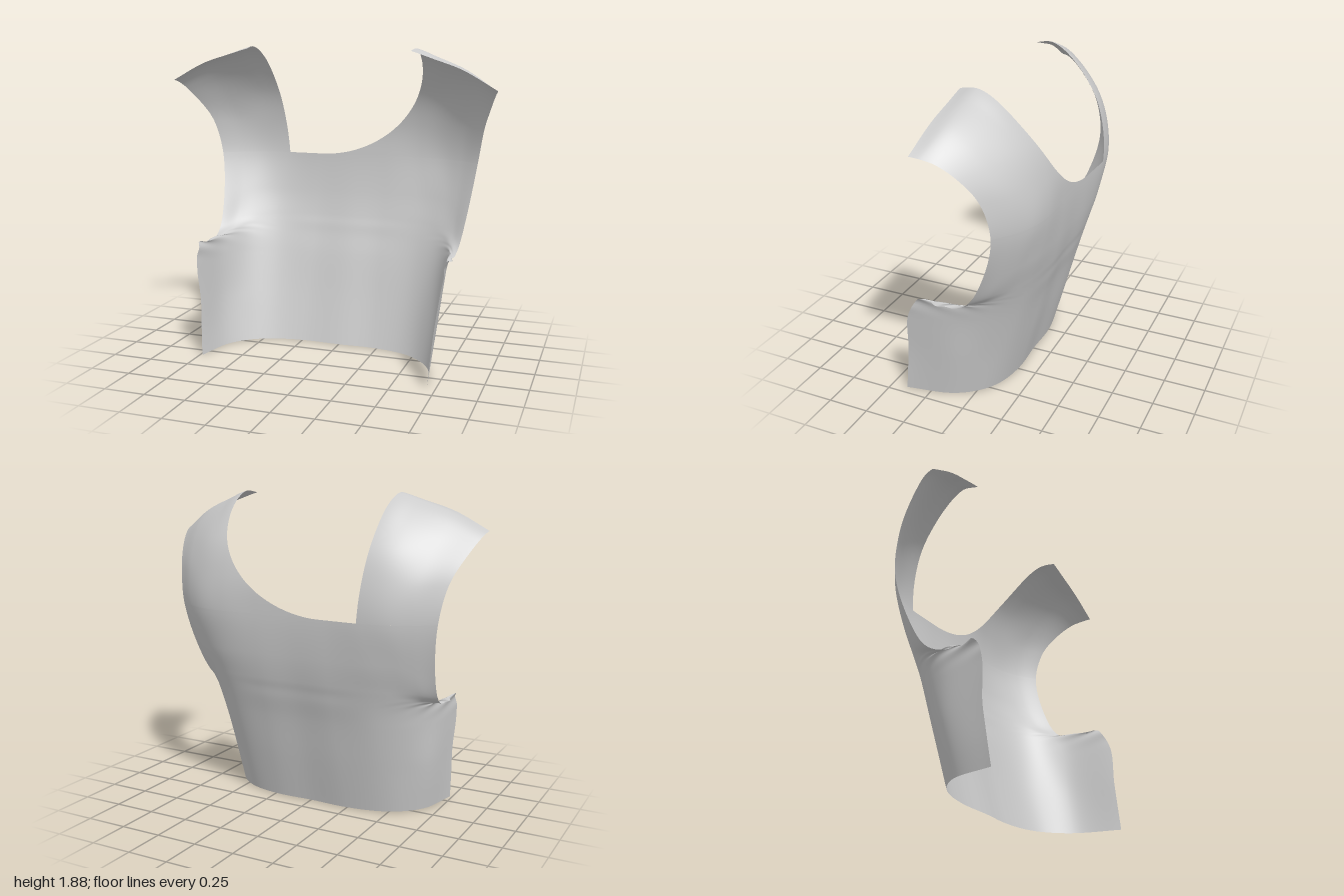
import * as THREE from 'three';

// Guide lines running from the hem up over the shoulder, 13 matching stations each.
const SPINE = [ // y, z on the centre line
  [0, -.13], [.3, -.21], [.56, -.275], [.68, -.31], [.74, -.325], [.8, -.342], [.95, -.372],
  [1.19, -.395], [1.4, -.385], [1.6, -.32], [1.81, -.15], [1.9, -.03], [1.93, .08]];
const BLADE = [
  [.42, 0, -.095], [.45, .3, -.17], [.47, .56, -.24], [.48, .68, -.275], [.48, .74, -.295], [.48, .8, -.315], [.48, .95, -.36],
  [.45, 1.19, -.403], [.45, 1.4, -.387], [.45, 1.6, -.32], [.49, 1.8, -.155], [.51, 1.87, -.02], [.5, 1.858, .09]];
const RIBS = [
  [.54, 0, -.02], [.58, .3, -.08], [.62, .56, -.14], [.63, .68, -.185], [.63, .735, -.215], [.62, .79, -.25], [.62, .95, -.315],
  [.6, 1.19, -.38], [.6, 1.4, -.36], [.6, 1.59, -.29], [.62, 1.755, -.14], [.63, 1.825, -.01], [.63, 1.815, .097]];
const FLANK = [
  [.64, 0, .12], [.68, .3, .07], [.71, .56, .03], [.715, .675, -.04], [.71, .71, -.1], [.71, .77, -.17], [.71, .93, -.255],
  [.72, 1.19, -.325], [.74, 1.4, -.3], [.77, 1.56, -.215], [.8, 1.685, -.095], [.81, 1.75, .015], [.8, 1.755, .107]];
const EDGE = [
  [.7, 0, .4], [.722, .3, .362], [.755, .56, .33], [.765, .69, .235], [.765, .67, .08], [.775, .72, -.05], [.8, .9, -.16],
  [.84, 1.19, -.24], [.88, 1.4, -.2], [.93, 1.53, -.11], [.97, 1.61, -.01], [.99, 1.635, .06], [1, 1.645, .125]];

const LAST = SPINE.length - 1;
const NECK_ROW = 7;      // station where the neckline starts
const NECK_X = -.43;     // square corner of the neckline

const guide = pts => new THREE.CatmullRomCurve3(pts.map(p => new THREE.Vector3(...p)));
const guides = [
  guide(SPINE.map(([y, z]) => [0, y, z])),
  guide(SPINE.map(([y, z]) => [.23, y, z - .004])),
  ...[BLADE, RIBS, FLANK, EDGE].map(guide)];

// Point on guide k at station r; the model's right side is slightly wider and shorter
function guidePoint(k, r, side) {
  const p = guides[k].getPoint(r / LAST);
  if (side < 0) {
    const w = k / 5;
    const low = 1 - THREE.MathUtils.smoothstep(p.y, .1, 1);
    const top = THREE.MathUtils.smoothstep(r, 9, LAST);
    p.x *= -(1 + .05 * low);
    p.z -= (.07 * (1 - THREE.MathUtils.smoothstep(r, 1, 3)) + .025 * top) * w ** 3;
    p.y += .03 * top * w;
  }
  return p;
}

// Cross-section from the right edge to the left edge at station r
function section(r) {
  const pts = [];
  for (let k = 5; k > 0; k--) pts.push(guidePoint(k, r, -1));
  for (let k = 0; k <= 5; k++) pts.push(guidePoint(k, r, 1));
  return new THREE.CatmullRomCurve3(pts);
}

// Curve parameter where a section reaches a given x
function paramAtX(curve, x) {
  let lo = 0, hi = 1;
  for (let i = 0; i < 26; i++) {
    const mid = (lo + hi) / 2;
    if (curve.getPoint(mid).x < x) lo = mid; else hi = mid;
  }
  return (lo + hi) / 2;
}

// Small puckers in the cloth under the arm
function pucker(p, r, t) {
  const d = Math.min(t, 1 - t);
  const amount = Math.exp(-(((r - 3.3) / .7) ** 2)) * Math.exp(-d * 16);
  p.x += Math.sign(p.x) * .014 * amount * Math.sin(r * 9 + d * 50);
  p.y += .01 * amount * Math.sin(r * 5 + d * 70);
  return p;
}

// Cloth panel over the given stations, between two parameters per section
function panel(name, stations, range, cols) {
  const pos = [], index = [], n = cols + 1;
  stations.forEach((r, j) => {
    const curve = section(r);
    const [a, b] = range(curve, r);
    for (let i = 0; i <= cols; i++) {
      const t = a + (b - a) * i / cols;
      pos.push(...pucker(curve.getPoint(t), r, t).toArray());
      if (j && i) {
        const c = j * n + i, d = c - n;
        index.push(d - 1, c - 1, d, d, c - 1, c);
      }
    }
  });
  const geo = new THREE.BufferGeometry();
  geo.setAttribute('position', new THREE.Float32BufferAttribute(pos, 3));
  geo.setIndex(index);
  geo.computeVertexNormals();
  const mesh = new THREE.Mesh(geo, new THREE.MeshStandardMaterial({ color: 0xcccccc, side: THREE.DoubleSide }));
  mesh.name = name;
  return mesh;
}

// Scooped neckline of the left strap: a quarter ellipse up to the shoulder
function scoopX(r) {
  const y = guides[0].getPoint(r / LAST).y;
  const f = THREE.MathUtils.clamp((y - 1.19) / .67, 0, 1);
  return -.2 + .71 * Math.sqrt(1 - (1 - f) ** 2) - .01 * THREE.MathUtils.smoothstep(r, 11, 12);
}

// Steep neckline of the right strap
function steepX(r) {
  const s = (r - NECK_ROW) / (LAST - NECK_ROW);
  return NECK_X - .1 * s + .018 * THREE.MathUtils.smoothstep(r, 11, 12);
}

export function createModel() {
  const group = new THREE.Group();
  group.name = 'garmentBack';

  const lower = [], upper = [];
  for (let i = 0; i <= NECK_ROW * 10; i++) lower.push(i / 10);
  // stations crowd together at the start of the scoop
  for (let i = 0; i <= 60; i++) upper.push(NECK_ROW + (LAST - NECK_ROW) * (i / 60) ** 1.6);

  group.add(
    panel('backPanel', lower, () => [0, 1], 120),
    panel('leftStrap', upper, (c, r) => [paramAtX(c, scoopX(r)), 1], 60),
    panel('rightStrap', upper, (c, r) => [0, paramAtX(c, steepX(r))], 36));
  return group;
}
